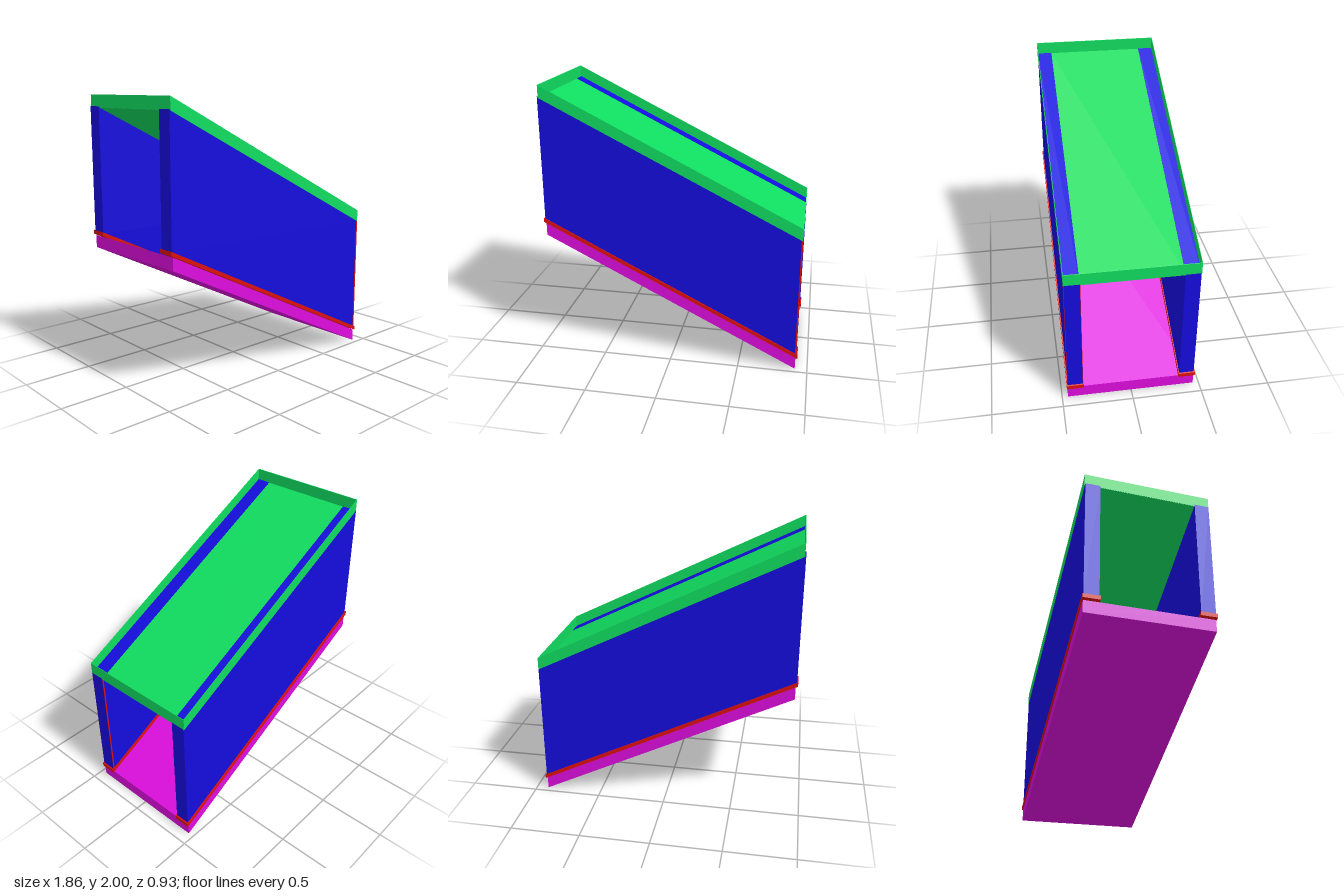
import * as THREE from 'three';

const SLOPE = -0.4975;

// Box whose top and bottom follow the slope; y values are heights at x = 0
function slopedBox(name, color, [x0, x1], [y0, y1], [z0, z1]) {
  const geo = new THREE.BoxGeometry(x1 - x0, y1 - y0, z1 - z0);
  geo.translate((x0 + x1) / 2, (y0 + y1) / 2, (z0 + z1) / 2);
  const p = geo.attributes.position;
  for (let i = 0; i < p.count; i++) p.setY(i, p.getY(i) + SLOPE * p.getX(i));
  geo.computeVertexNormals();
  const mesh = new THREE.Mesh(geo, new THREE.MeshStandardMaterial({ color, flatShading: true }));
  mesh.name = name;
  return mesh;
}

export function createModel() {
  const group = new THREE.Group();
  const GREEN = 0x10dd60, BLUE = 0x150ddd, RED = 0xdd1010, MAGENTA = 0xdd0ddd;
  const add = (...args) => group.add(slopedBox(...args));

  // Floor slab
  add('floorSlab', MAGENTA, [-0.917, 0.912], [0.456, 0.545], [-0.458, 0.458]);

  // Side walls standing on slightly wider sills
  for (const s of [1, -1]) {
    const side = s > 0 ? 'front' : 'back';
    const span = (a, b) => (s > 0 ? [a, b] : [-b, -a]);
    add(side + 'Wall', BLUE, [-0.924, 0.918], [0.57, 1.461], span(0.35, 0.457));
    add(side + 'Sill', RED, [-0.932, 0.926], [0.549, 0.578], span(0.344, 0.465));
  }
  // Narrow upright trim near the low end of the front wall
  add('endTrim', RED, [0.907, 0.917], [0.57, 1.455], [0.347, 0.46]);

  // Ceiling panel between the walls
  add('ceilingPanel', GREEN, [-0.916, 0.916], [1.455, 1.459], [-0.352, 0.352]);

  // Thin upright rim around the roof
  const x = 0.916, z = 0.459, t = 0.003;
  for (const s of [1, -1]) {
    add('roofRimSide', GREEN, [-x, x], [1.456, 1.544], [s * z - t / 2, s * z + t / 2]);
    add('roofRimEnd', GREEN, [s * x - t / 2, s * x + t / 2], [1.456, 1.544], [-z, z]);
  }
  return group;
}
